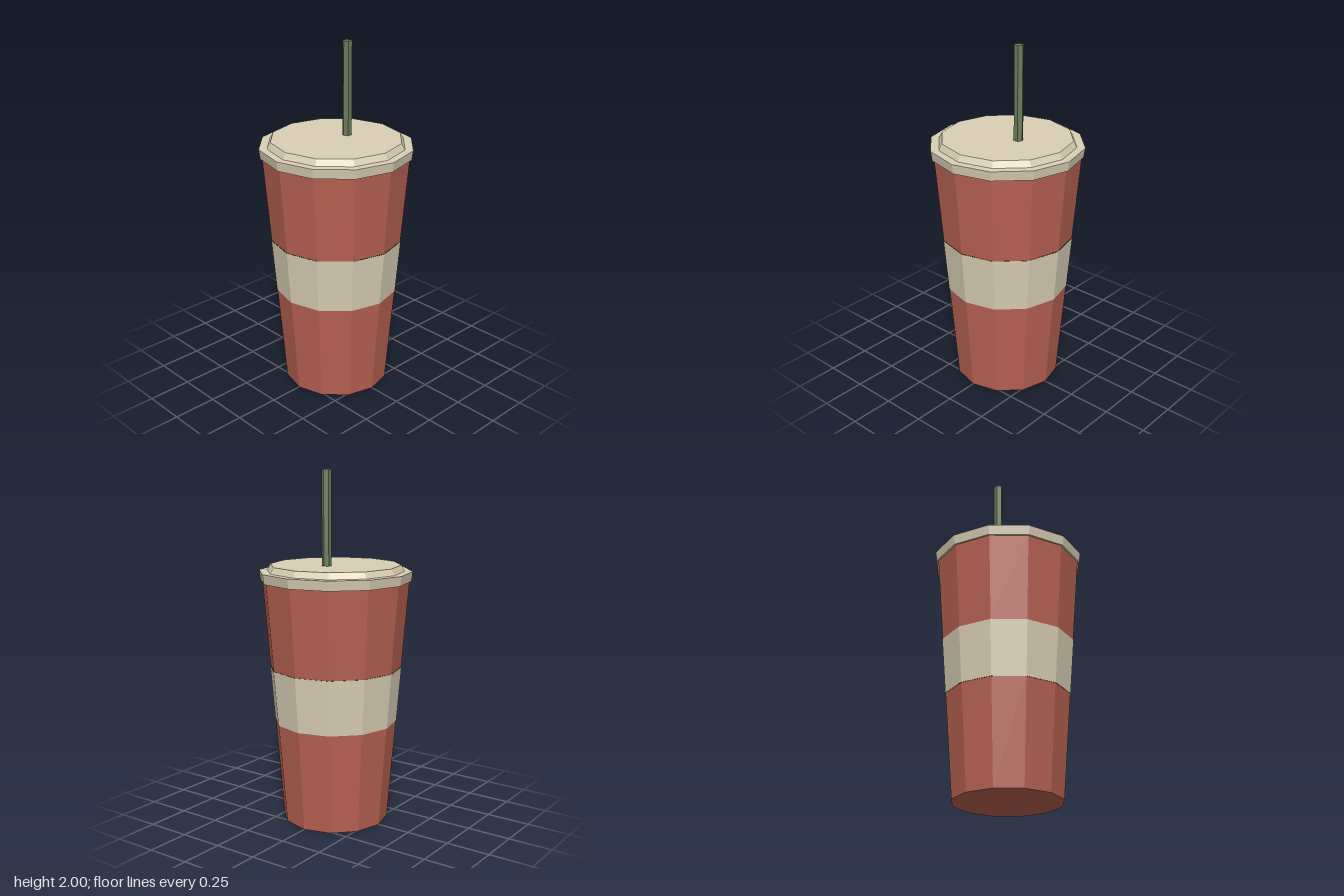
import * as THREE from 'three';

const SIDES = 12;
const material = (color) => new THREE.MeshStandardMaterial({ color, flatShading: true });

export function createModel() {
  const group = new THREE.Group();
  const red = material(0xb86252);
  const cream = material(0xd9cfb4);
  const green = material(0x6a7d5c);

  // Tapered ring or disc standing between two heights
  function frustum(name, mat, y0, y1, r0, r1, open = false, sides = SIDES, turn = 0) {
    const geometry = new THREE.CylinderGeometry(r1, r0, y1 - y0, sides, 1, open, turn);
    geometry.translate(0, (y0 + y1) / 2, 0);
    const mesh = new THREE.Mesh(geometry, mat);
    mesh.name = name;
    group.add(mesh);
    return mesh;
  }

  // Cup wall: one continuous taper, split by the coloured band
  const wall = (y) => 0.303 + (0.415 - 0.303) * (y / 1.39);
  frustum('cupLower', red, 0, 0.58, wall(0), wall(0.58));
  frustum('cupBand', cream, 0.58, 0.895, wall(0.58) + 0.002, wall(0.895) + 0.002, true);
  frustum('cupUpper', red, 0.895, 1.39, wall(0.895), wall(1.39), true);

  // Lid: overhanging rim and raised bevelled top
  frustum('lidRim', cream, 1.385, 1.44, 0.425, 0.433);
  frustum('lidTop', cream, 1.44, 1.475, 0.387, 0.368);

  // Six-sided straw, off centre, with corners towards the sides
  const straw = frustum('straw', green, 1.4, 2, 0.027, 0.027, false, 6, Math.PI / 6);
  straw.position.x = 0.082;

  return group;
}
